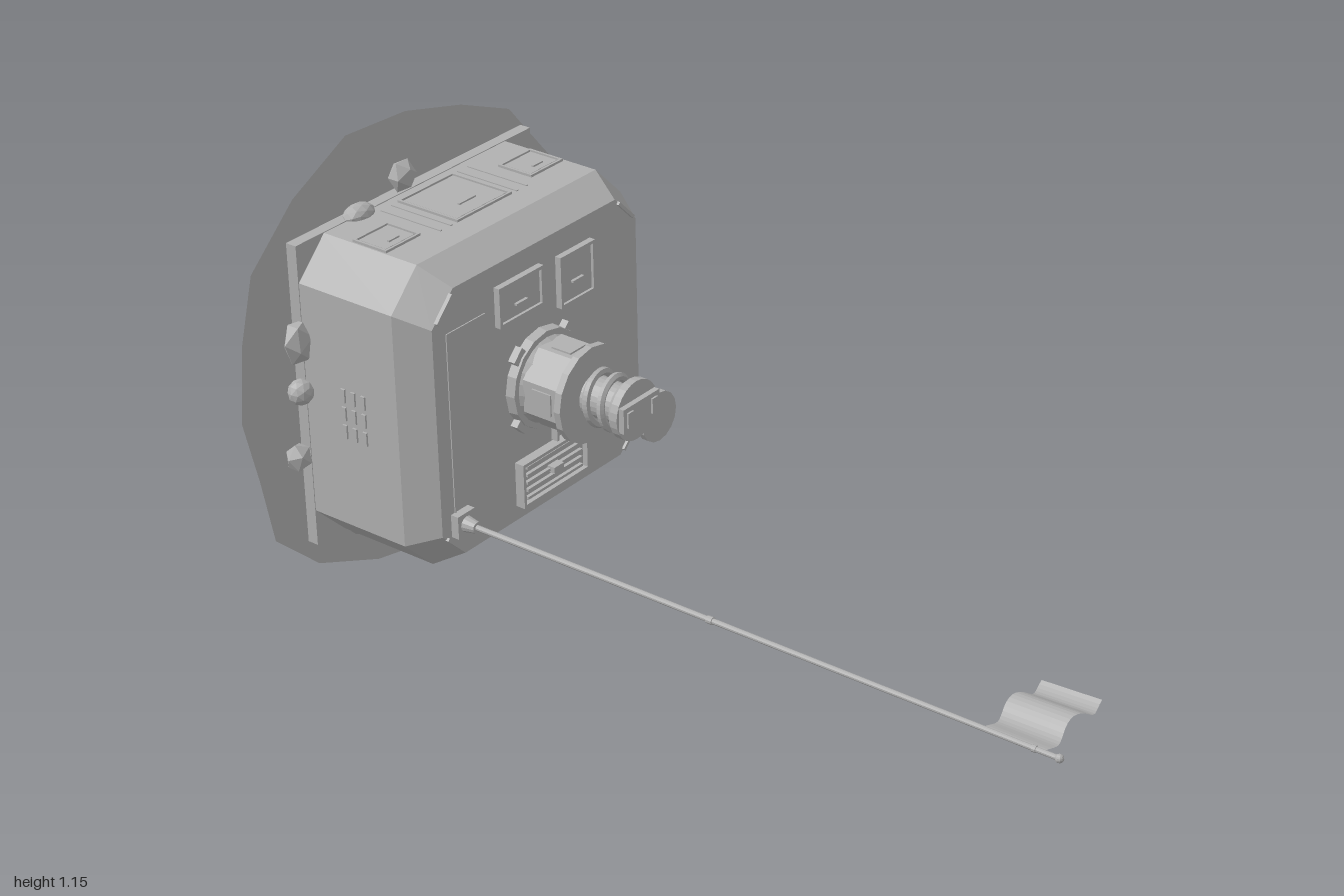
import * as THREE from 'three';

const CX = -0.015, CY = 0.58; // middle of the housing

export function createModel() {
  const model = new THREE.Group();
  const grey = new THREE.MeshStandardMaterial({ color: 0xb0b0b0, flatShading: true, side: THREE.DoubleSide });
  grey.name = 'clay grey';

  const add = (name, geo, x = 0, y = 0, z = 0) => {
    const m = new THREE.Mesh(geo, grey);
    m.name = name;
    m.position.set(x, y, z);
    model.add(m);
    return m;
  };
  const box = (name, w, h, d, x, y, z) => add(name, new THREE.BoxGeometry(w, h, d), x, y, z);
  // Cylinder lying along z, from z0 to z1
  const disc = (name, r0, r1, z0, z1, x, y, sides = 24) =>
    add(name, new THREE.CylinderGeometry(r1, r0, z1 - z0, sides).rotateX(Math.PI / 2), x, y, (z0 + z1) / 2);
  // Flat strip between two points on the front face
  const strip = (name, x0, y0, x1, y1, w, d, z) => {
    const m = box(name, Math.hypot(x1 - x0, y1 - y0) + w * 0.6, w, d, (x0 + x1) / 2, (y0 + y1) / 2, z);
    m.rotation.z = Math.atan2(y1 - y0, x1 - x0);
    return m;
  };
  // Raised rim around a panel, lying in the xy plane
  const rim = (w, h, t, d) => {
    const s = new THREE.Shape([[-w, -h], [w, -h], [w, h], [-w, h]].map(([a, b]) => new THREE.Vector2(a / 2, b / 2)));
    const a = w / 2 - t, b = h / 2 - t;
    s.holes.push(new THREE.Path([[-a, -b], [-a, b], [a, b], [a, -b]].map(([p, q]) => new THREE.Vector2(p, q))));
    return new THREE.ExtrudeGeometry(s, { depth: d, bevelEnabled: false });
  };

  // Irregular ground sheet
  const outline = [[-0.21, 1.15], [-0.01, 1.14], [0.18, 1.09], [0.35, 1.02], [0.45, 0.9], [0.56, 0.77], [0.6, 0.58],
    [0.6, 0.4], [0.44, 0.26], [0.325, 0.11], [0.16, 0.07], [-0.015, 0.0], [-0.19, 0.035], [-0.39, 0.12],
    [-0.525, 0.245], [-0.56, 0.42], [-0.6, 0.585], [-0.58, 0.77], [-0.535, 0.93], [-0.39, 1.06]];
  add('groundSheet', new THREE.ShapeGeometry(new THREE.Shape(outline.map(([x, y]) => new THREE.Vector2(x, y)))), 0, 0, -0.994);

  // Square base plate with a curved mark behind
  box('basePlate', 0.81, 0.77, 0.033, CX, CY, -0.9815);
  add('backArc', new THREE.TorusGeometry(0.075, 0.002, 4, 16, Math.PI), CX, CY, -0.9985).rotation.z = -Math.PI * 0.75;

  // Housing: octagonal sections, narrowing at the front
  const ring = (hx, hy, c, z) => [[hx, c - hy], [hx, hy - c], [hx - c, hy], [c - hx, hy],
    [-hx, hy - c], [-hx, c - hy], [c - hx, -hy], [hx - c, -hy]].map(([x, y]) => [x, y, z]);
  const rings = [ring(0.403, 0.383, 0.09, -0.97), ring(0.403, 0.383, 0.09, -0.69), ring(0.36, 0.338, 0.075, -0.612)];
  const pos = [];
  for (let r = 0; r < 2; r++) {
    for (let i = 0; i < 8; i++) {
      const j = (i + 1) % 8, [a, b] = [rings[r], rings[r + 1]];
      pos.push(...a[i], ...a[j], ...b[j], ...a[i], ...b[j], ...b[i]);
    }
  }
  for (let i = 1; i < 7; i++) pos.push(...rings[2][0], ...rings[2][i], ...rings[2][i + 1]);
  const housing = new THREE.BufferGeometry();
  housing.setAttribute('position', new THREE.Float32BufferAttribute(pos, 3));
  housing.computeVertexNormals();
  add('housing', housing, CX, CY, 0);

  // Corner bars and side vents
  for (const sx of [-1, 1]) {
    for (const sy of [-1, 1]) {
      strip('cornerBar', CX + sx * 0.345, CY + sy * 0.275, CX + sx * 0.295, CY + sy * 0.325, 0.008, 0.014, -0.612);
    }
    for (let i = 0; i < 3; i++) {
      for (const y of [-0.046, 0, 0.046]) box('sideVent', 0.008, 0.034, 0.012, CX + sx * 0.404, CY + y, -0.79 - i * 0.03);
    }
  }

  // Front hatches
  for (const [x, y, w, h] of [[-0.0875, 0.815, 0.155, 0.1], [0.1125, 0.793, 0.125, 0.13]]) {
    box('hatchDoor', w - 0.01, h - 0.01, 0.012, x, y, -0.609);
    add('hatchRim', rim(w, h, 0.008, 0.018), x, y, -0.614);
    box('hatchHandle', 0.04, 0.005, 0.01, x, y - 0.012, -0.6);
  }

  // Top and bottom-free hatches on the upper face
  for (const [x, z, w, d] of [[-0.267, -0.832, 0.115, 0.1], [0.233, -0.832, 0.115, 0.1], [-0.015, -0.85, 0.19, 0.18]]) {
    add('topHatchRim', rim(w, d, 0.006, 0.008).rotateX(-Math.PI / 2), x, 0.961, z);
    box('topHatchDoor', w - 0.02, 0.006, d - 0.02, x, 0.964, z);
    box('topHatchHandle', w * 0.3, 0.006, 0.006, x, 0.968, z + d * 0.2);
  }
  for (const x of [-0.165, -0.13, 0.1, 0.135]) box('topSeam', 0.006, 0.005, 0.18, x, 0.963, -0.85);

  // Engraved line on the front
  strip('frontLine', -0.33, 0.815, -0.2, 0.815, 0.003, 0.004, -0.611);
  strip('frontLine', -0.33, 0.815, -0.33, 0.36, 0.003, 0.004, -0.611);

  // Turret with flange, neck, coil and cap
  disc('turretBase', 0.125, 0.122, -0.615, -0.588, CX, CY, 16);
  for (let i = 0; i < 4; i++) {
    const a = Math.PI * (0.25 + i / 2);
    box('turretTab', 0.04, 0.04, 0.02, CX + 0.118 * Math.cos(a), CY + 0.118 * Math.sin(a), -0.603).rotation.z = a;
  }
  disc('turretCollar', 0.108, 0.1, -0.59, -0.575, CX, CY, 24);
  const turret = disc('turretBody', 0.108, 0.108, -0.58, -0.475, CX, CY, 8);
  turret.rotation.z = Math.PI / 8;
  for (let i = 0; i < 4; i++) {
    const a = i * Math.PI / 2;
    box('turretWindow', 0.008, 0.055, 0.055, CX + 0.1 * Math.cos(a), CY + 0.1 * Math.sin(a), -0.525).rotation.z = a;
  }
  disc('turretFlange', 0.12, 0.12, -0.475, -0.457, CX, CY, 16);
  disc('neck', 0.05, 0.045, -0.46, -0.35, CX, CY);
  const coil = [];
  for (let i = 0; i <= 40; i++) {
    const a = i / 40 * Math.PI * 4;
    coil.push(new THREE.Vector3(0.06 * Math.cos(a), 0.06 * Math.sin(a), -0.45 + i / 40 * 0.085));
  }
  add('coil', new THREE.TubeGeometry(new THREE.CatmullRomCurve3(coil), 80, 0.01, 6), CX, CY, 0);
  disc('capLower', 0.06, 0.074, -0.365, -0.35, CX, CY);
  disc('cap', 0.074, 0.074, -0.35, -0.33, CX, CY);
  box('capBar', 0.13, 0.062, 0.016, CX, CY, -0.324);
  for (const s of [-1, 1]) box('capStud', 0.02, 0.038, 0.006, CX + s * 0.044, CY, -0.314);

  // Straps between turret, grille and spool
  strip('strap', 0.02, 0.4, 0.02, 0.44, 0.008, 0.02, -0.604);
  strip('strap', 0.02, 0.435, 0.06, 0.457, 0.008, 0.02, -0.604);
  strip('strap', 0.06, 0.457, 0.08, 0.5, 0.008, 0.02, -0.604);
  strip('strap', 0.095, 0.5, 0.13, 0.45, 0.014, 0.04, -0.594);
  strip('strap', 0.13, 0.45, 0.17, 0.41, 0.01, 0.03, -0.6);

  // Spool
  disc('spoolFoot', 0.062, 0.058, -0.614, -0.588, 0.235, 0.41, 16);
  disc('spoolColumn', 0.04, 0.04, -0.59, -0.48, 0.235, 0.41, 16);
  disc('spoolHead', 0.055, 0.064, -0.49, -0.48, 0.235, 0.41, 16);
  disc('spoolLid', 0.064, 0.064, -0.48, -0.463, 0.235, 0.41, 16);

  // Grille with slats
  add('grilleRim', rim(0.24, 0.115, 0.008, 0.028), 0.003, 0.337, -0.615);
  box('grilleBack', 0.23, 0.105, 0.014, 0.003, 0.337, -0.608);
  for (let i = 0; i < 5; i++) box('grilleSlat', 0.2, 0.007, 0.016, 0.003, 0.297 + i * 0.02, -0.6);
  box('grilleKnob', 0.035, 0.016, 0.03, 0.003, 0.337, -0.595);

  // Pole with socket and joints
  const px = -0.315, py = 0.333;
  box('poleSocket', 0.058, 0.058, 0.024, px, py, -0.603);
  disc('poleCollar', 0.02, 0.014, -0.592, -0.56, px, py, 12);
  disc('pole', 0.007, 0.006, -0.6, 0.99, px, py, 10);
  disc('poleJoint', 0.009, 0.009, 0.095, 0.11, px, py, 10);
  disc('poleJoint', 0.008, 0.008, 0.925, 0.935, px, py, 10);
  add('poleTip', new THREE.SphereGeometry(0.01, 10, 8), px, py, 0.99);

  // Rippled flag
  const flag = new THREE.PlaneGeometry(0.235, 0.148, 24, 4).rotateX(-Math.PI / 2);
  const p = flag.attributes.position;
  for (let i = 0; i < p.count; i++) {
    const u = p.getX(i) / 0.235 + 0.5, v = p.getZ(i) / 0.148;
    p.setY(i, -0.018 * Math.sin(u * 9) * Math.min(1, u * 3) + 0.008 * u * v);
    p.setZ(i, p.getZ(i) + 0.006 * Math.sin(u * 11));
  }
  flag.computeVertexNormals();
  add('flag', flag, px + 0.1175, py + 0.004, 0.88);

  // Rocks around the base: x, y, half width, half height
  const rocks = [[-0.06, 1.005, 0.038, 0.042], [-0.21, 0.965, 0.045, 0.025], [-0.43, 0.73, 0.045, 0.058],
    [-0.435, 0.605, 0.032, 0.032], [-0.457, 0.445, 0.035, 0.037], [-0.245, 0.19, 0.065, 0.04], [-0.09, 0.198, 0.04, 0.016],
    [0.06, 0.198, 0.04, 0.018], [0.38, 0.855, 0.04, 0.05], [0.38, 0.705, 0.035, 0.05], [0.415, 0.6, 0.036, 0.048]];
  rocks.forEach(([x, y, w, h], i) => {
    const g = new THREE.IcosahedronGeometry(1, i % 2).rotateZ(i).scale(w, h, 0.03);
    add('rock', g, x, y, -0.967);
  });

  return model;
}
